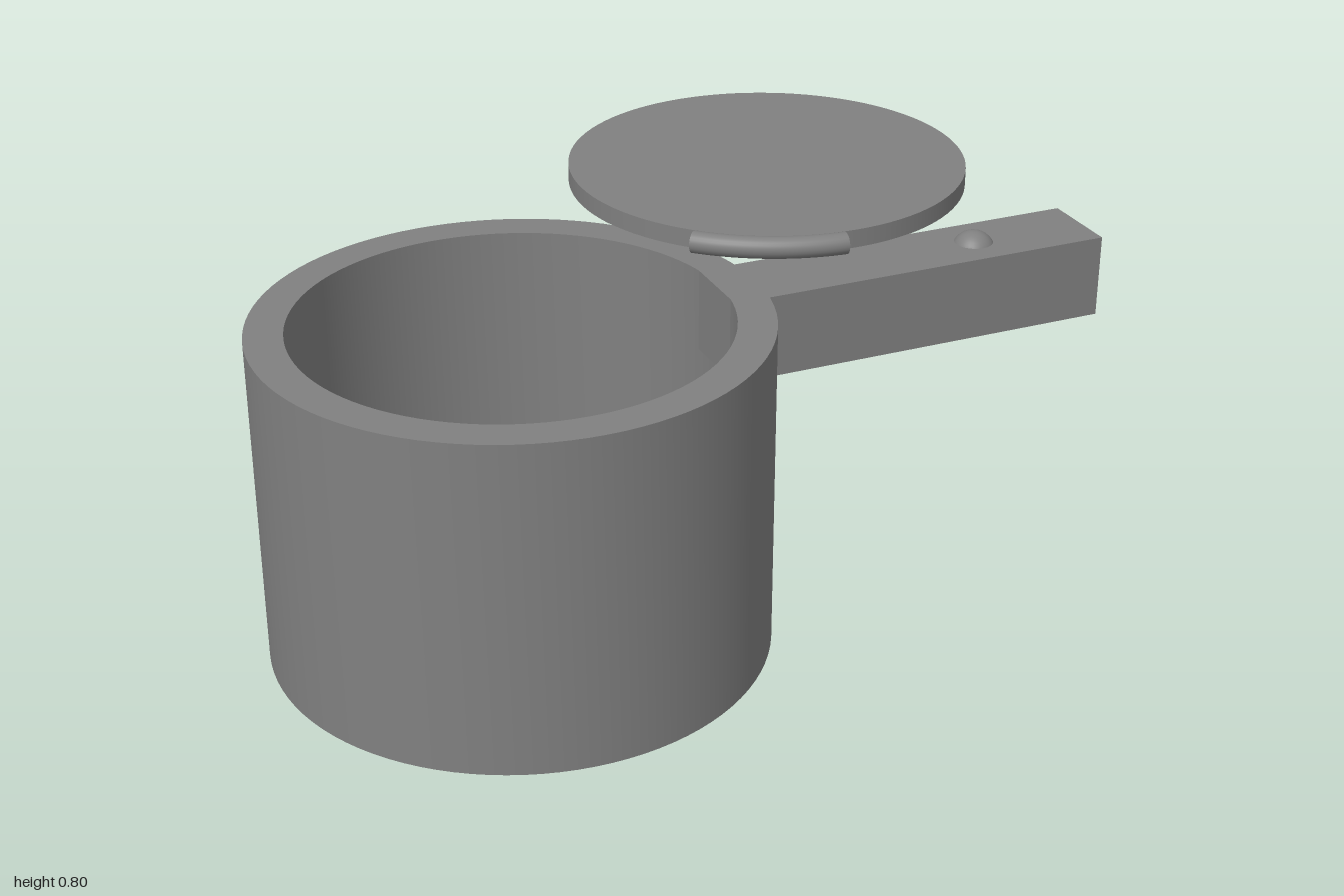
import * as THREE from 'three';
import { toCreasedNormals } from 'three/addons/utils/BufferGeometryUtils.js';

export function createModel() {
  const model = new THREE.Group();
  const grey = new THREE.MeshStandardMaterial({ color: 0x808080 });
  grey.name = 'grey';

  const add = (name, geometry, x, y, z, parent = model) => {
    const mesh = new THREE.Mesh(geometry, grey);
    mesh.name = name;
    mesh.position.set(x, y, z);
    parent.add(mesh);
    return mesh;
  };

  // Open cup with a thick wall and floor
  const rim = 0.747;
  const profile = [[0, 0], [0.55, 0], [0.55, rim], [0.467, rim], [0.467, 0.083], [0, 0.083]]
    .map(([r, y]) => new THREE.Vector2(r, y));
  add('cup', toCreasedNormals(new THREE.LatheGeometry(profile, 96), 0.6), -0.05, 0, 0.447);

  // Round lid swung open behind the cup
  const lidX = -0.17, lidZ = -0.532;
  add('lid', new THREE.CylinderGeometry(0.468, 0.468, 0.043, 96), lidX, 0.768, lidZ);

  // Square handle whose inner end pokes through the cup wall
  const handle = add('handle', new THREE.BoxGeometry(0.188, 0.187, 0.9), 0.352, rim - 0.0935, -0.369);
  handle.rotation.y = -0.444;

  // Domed thumb button on the handle
  add('button', new THREE.SphereGeometry(0.05, 32, 20), 0.427, 0.722, -0.528);

  // Curved hinge rod hugging the lid edge, with flat ends
  const hinge = new THREE.Group();
  hinge.name = 'hinge';
  hinge.position.set(lidX, 0.772, lidZ);
  model.add(hinge);
  const radius = 0.49, tube = 0.025, start = Math.PI / 6, end = Math.PI * 7 / 18;
  const rod = new THREE.TorusGeometry(radius, tube, 24, 32, end - start);
  rod.rotateZ(start).rotateX(Math.PI / 2);
  add('hingeRod', rod, 0, 0, 0, hinge);
  for (const [angle, turn] of [[start, Math.PI - start], [end, -end]]) {
    const cap = add('hingeEnd', new THREE.CircleGeometry(tube, 24),
      radius * Math.cos(angle), 0, radius * Math.sin(angle), hinge);
    cap.rotation.y = turn;
  }

  return model;
}
